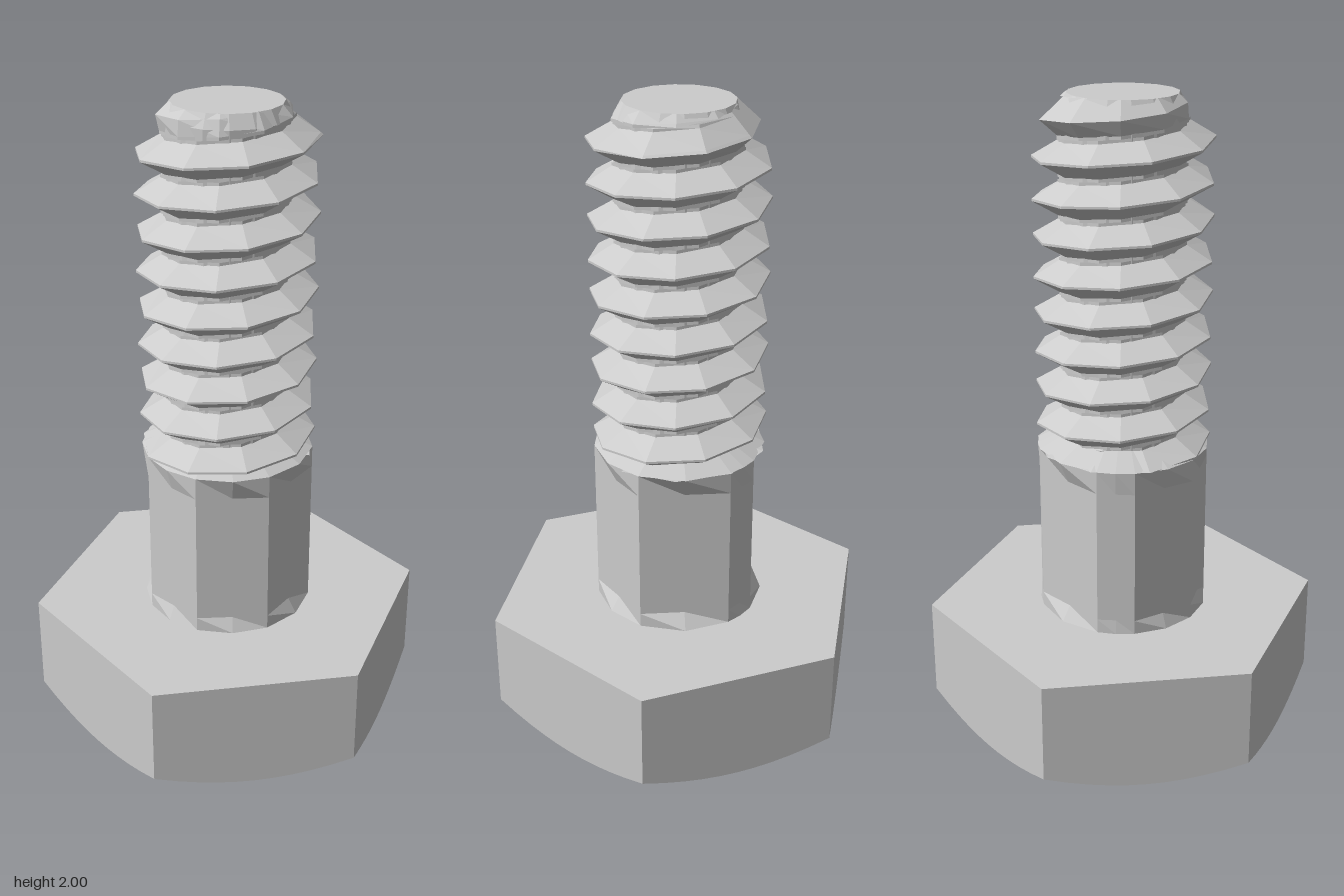
import * as THREE from 'three';

const material = new THREE.MeshStandardMaterial({ color: 0xcccccc, flatShading: true });
const rad = THREE.MathUtils.degToRad;

// Point at angle a (counter-clockwise seen from above)
const polar = (r, a, y) => [r * Math.cos(a), y, -r * Math.sin(a)];

// Joins rows of points (bottom to top, counter-clockwise) into a flat-shaded skin
function skin(rows, name) {
  const pos = [];
  for (let i = 0; i + 1 < rows.length; i++) {
    for (let j = 0; j + 1 < rows[i].length; j++) {
      const a = rows[i][j], b = rows[i][j + 1], c = rows[i + 1][j + 1], d = rows[i + 1][j];
      pos.push(...a, ...b, ...d, ...b, ...c, ...d);
    }
  }
  const geo = new THREE.BufferGeometry();
  geo.setAttribute('position', new THREE.Float32BufferAttribute(pos, 3));
  geo.computeVertexNormals();
  const mesh = new THREE.Mesh(geo, material);
  mesh.name = name;
  return mesh;
}

// Hexagonal head, its underside corners cut by a 30 degree cone
function createHead() {
  const angles = Array.from({ length: 61 }, (_, i) => rad(i * 6));
  const hex = (a) => {
    const sector = Math.PI / 3;
    return 0.541 / Math.cos(a - Math.round(a / sector) * sector);
  };
  return skin([
    angles.map((a) => polar(0, a, 0)),
    angles.map((a) => polar(0.52, a, 0)),
    angles.map((a) => polar(hex(a), a, (hex(a) - 0.52) * 0.57)),
    angles.map((a) => polar(hex(a), a, 0.375)),
    angles.map((a) => polar(0, a, 0.375)),
  ], 'hexHead');
}

// Faceted plain shank, slightly rounder at both ends
function createShank() {
  const R = 0.268;
  const corners = [13, 76, 99, 155, 180, 225, 270, 319, 373].map(rad);
  const ring = (y, round, scale = 1) => {
    const row = [];
    corners.forEach((a, i) => {
      row.push(polar(R * scale, a, y));
      if (i + 1 < corners.length) {
        const half = (corners[i + 1] - a) / 2;
        row.push(polar(R * scale * (round ? 1 : Math.cos(half)), a + half, y));
      }
    });
    return row;
  };
  return skin([
    ring(0.375, true), ring(0.42, false), ring(0.85, false),
    ring(0.92, true), ring(0.96, true, 0.7),
  ], 'shank');
}

// Right-handed V thread swept along a helix, trimmed by the tip chamfer
function createThread() {
  const pitch = 0.1165, perTurn = 9.5, turns = 11;
  const profile = [[-0.5, 0.195], [-0.42, 0.195], [-0.03, 0.272], [0.03, 0.272], [0.42, 0.195], [0.5, 0.195]];
  const steps = Math.round(turns * perTurn);
  const rows = profile.map(([dy, r]) => {
    const row = [];
    for (let i = 0; i <= steps; i++) {
      const turn = i / perTurn;
      const y = THREE.MathUtils.clamp(1.9 + (turn - 9 + dy) * pitch, 0.92, 2);
      row.push(polar(Math.min(r, 0.165 + (2 - y) * 1.1), turn * Math.PI * 2, y));
    }
    return row;
  });
  return skin(rows, 'thread');
}

// Solid core under the thread, closing the flat tip
function createCore() {
  const points = [[0.188, 0.93], [0.188, 1.96], [0.165, 2], [0, 2]].map(([x, y]) => new THREE.Vector2(x, y));
  const mesh = new THREE.Mesh(new THREE.LatheGeometry(points, 16), material);
  mesh.name = 'threadCore';
  return mesh;
}

export function createModel() {
  const bolt = new THREE.Group();
  bolt.name = 'hexBolt';
  bolt.add(createHead(), createShank(), createThread(), createCore());
  return bolt;
}
